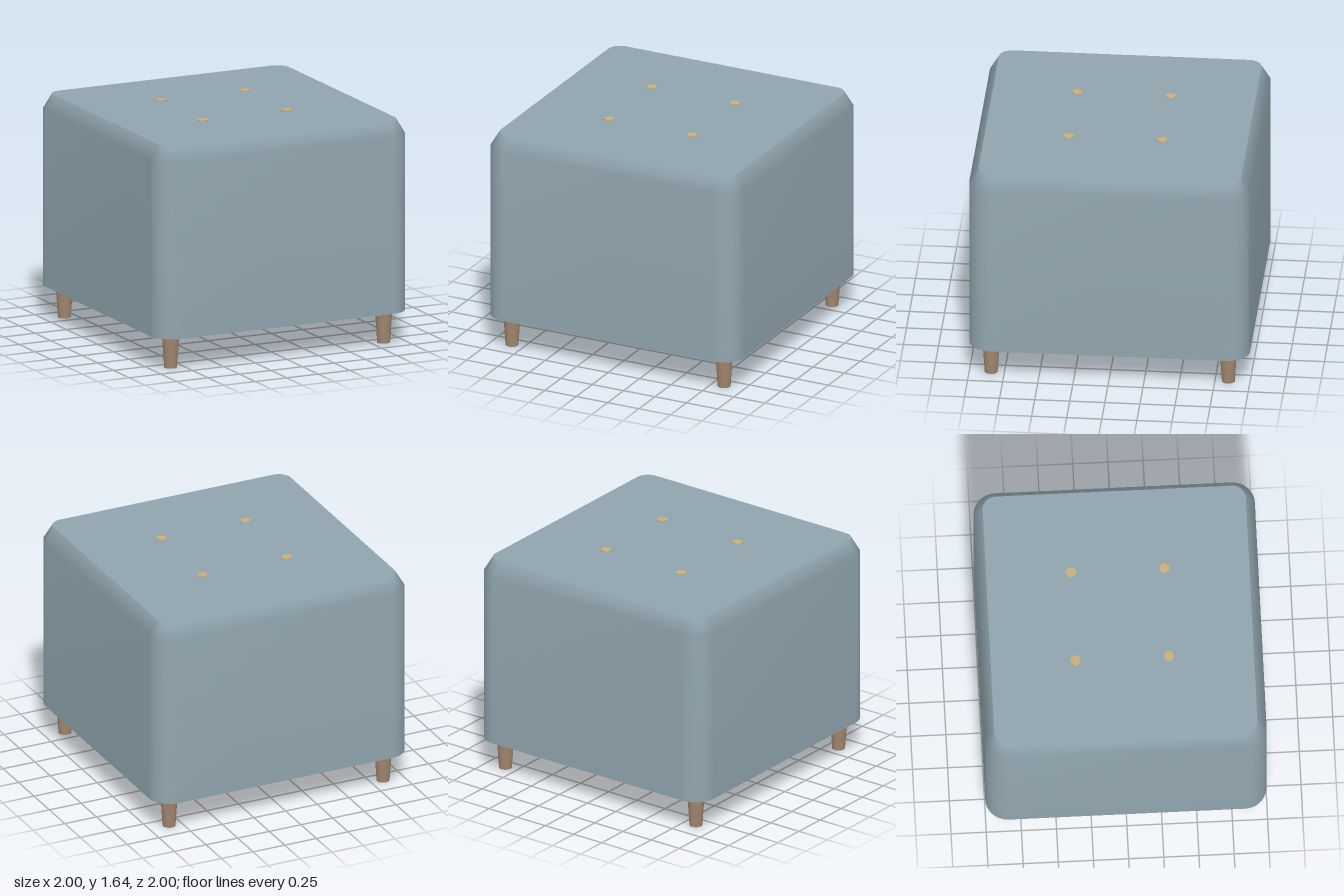
import * as THREE from 'three';

const BOTTOM = 0.24, SHOULDER = 1.525, TOP = 1.635;
const INSET = 0.065, CORNER = 0.16;

// Outline of a square with rounded corners, counter-clockwise
function roundedSquare(half, radius, steps = 12) {
  const points = [];
  for (let c = 0; c < 4; c++) {
    const mid = Math.PI / 4 + c * Math.PI / 2;
    const cx = Math.sign(Math.cos(mid)) * (half - radius);
    const cy = Math.sign(Math.sin(mid)) * (half - radius);
    for (let i = 0; i <= steps; i++) {
      const a = (c + i / steps) * Math.PI / 2;
      points.push(new THREE.Vector2(cx + radius * Math.cos(a), cy + radius * Math.sin(a)));
    }
  }
  return points;
}

// Smooth wall through a stack of outlines
function loft(rings) {
  const n = rings[0].points.length;
  const positions = [], index = [];
  rings.forEach(({ y, points }) => points.forEach(p => positions.push(p.x, y, -p.y)));
  for (let r = 0; r < rings.length - 1; r++) {
    for (let i = 0; i < n; i++) {
      const a = r * n + i, b = r * n + (i + 1) % n;
      index.push(a, b, b + n, a, b + n, a + n);
    }
  }
  const geometry = new THREE.BufferGeometry();
  geometry.setAttribute('position', new THREE.Float32BufferAttribute(positions, 3));
  geometry.setIndex(index);
  geometry.computeVertexNormals();
  return geometry;
}

export function createModel() {
  const model = new THREE.Group();
  model.name = 'ottoman';
  const fabric = new THREE.MeshStandardMaterial({ color: 0x90a4ae });
  const wood = new THREE.MeshStandardMaterial({ color: 0xa1866f });
  const buttonMaterial = new THREE.MeshStandardMaterial({ color: 0xc4ad82 });

  const add = (parent, name, geometry, material, x = 0, y = 0, z = 0) => {
    const mesh = new THREE.Mesh(geometry, material);
    mesh.name = name;
    mesh.position.set(x, y, z);
    parent.add(mesh);
  };

  // Upholstered body: straight walls with a sloped shoulder, flat top and base
  const outer = roundedSquare(1, CORNER);
  const inner = roundedSquare(1 - INSET, CORNER - INSET);
  const body = new THREE.Group();
  body.name = 'body';
  model.add(body);
  add(body, 'walls', loft([
    { y: BOTTOM, points: outer },
    { y: SHOULDER, points: outer },
    { y: TOP, points: inner },
  ]), fabric);
  add(body, 'seatTop', new THREE.ShapeGeometry(new THREE.Shape(inner)).rotateX(-Math.PI / 2), fabric, 0, TOP);
  add(body, 'base', new THREE.ShapeGeometry(new THREE.Shape(outer)).rotateX(Math.PI / 2), fabric, 0, BOTTOM);

  // Tapered legs and tufting buttons, one of each per quarter
  const legGeometry = new THREE.CylinderGeometry(0.062, 0.046, BOTTOM, 24);
  const buttonGeometry = new THREE.CylinderGeometry(0.037, 0.037, 0.02, 24);
  for (const x of [-1, 1]) {
    for (const z of [-1, 1]) {
      const place = (z > 0 ? 'front' : 'back') + (x > 0 ? 'Left' : 'Right');
      add(model, place + 'Leg', legGeometry, wood, x * 0.845, BOTTOM / 2, z * 0.845);
      add(model, place + 'Button', buttonGeometry, buttonMaterial, x * 0.333, TOP, z * 0.333);
    }
  }
  return model;
}
